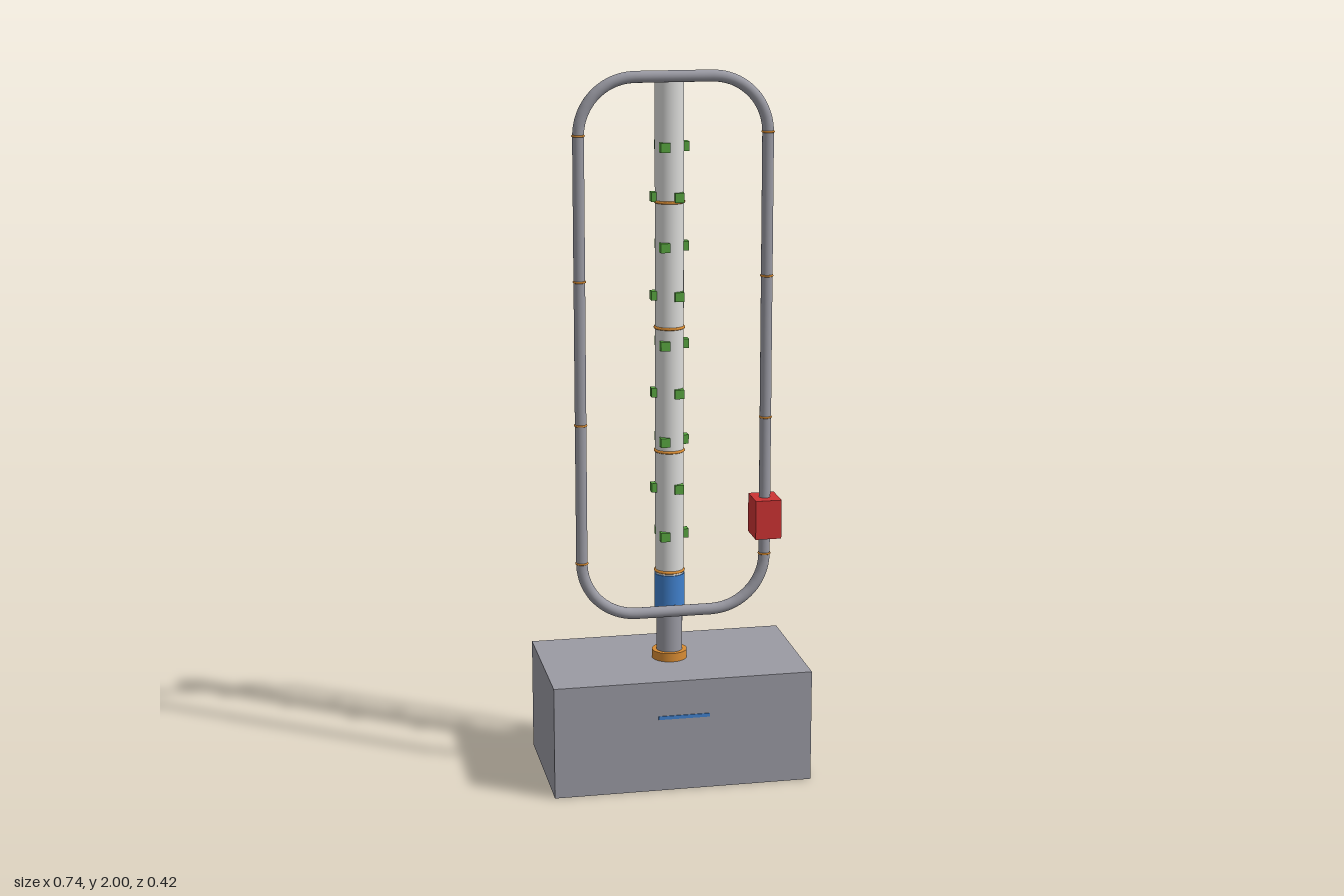
import * as THREE from 'three';

const mat = (name, color, side = THREE.FrontSide) => {
  const m = new THREE.MeshStandardMaterial({ color, side });
  m.name = name;
  return m;
};

export function createModel() {
  const group = new THREE.Group();
  const grey = mat('grey', 0x9a9aa3);
  const white = mat('offWhite', 0xdcdcda, THREE.DoubleSide);
  const orange = mat('orange', 0xd98c33);
  const blue = mat('blue', 0x4080cc);
  const green = mat('green', 0x59a640);
  const red = mat('red', 0xcc3333);
  const black = mat('black', 0x2b2b2b);

  const add = (name, geo, material, x, y, z) => {
    const mesh = new THREE.Mesh(geo, material);
    mesh.name = name;
    mesh.position.set(x, y, z);
    group.add(mesh);
    return mesh;
  };
  const box = (name, m, w, h, d, x, y, z) =>
    add(name, new THREE.BoxGeometry(w, h, d), m, x, y, z);
  // Upright cylinder between two heights
  const pipe = (name, m, r, y0, y1, open = false, x = 0, z = 0) =>
    add(name, new THREE.CylinderGeometry(r, r, y1 - y0, 40, 1, open), m, x, (y0 + y1) / 2, z);
  // Thin horizontal ring
  const ring = (name, m, r, t, x, y, z) => {
    const mesh = add(name, new THREE.TorusGeometry(r, t, 8, 40), m, x, y, z);
    mesh.rotation.x = Math.PI / 2;
    return mesh;
  };

  // Reservoir tank with front stripe
  box('tank', grey, 0.736, 0.322, 0.42, 0, 0.161, 0);
  box('frontStripe', blue, 0.146, 0.01, 0.003, 0, 0.216, 0.211);

  // Mast: collar, riser, coupling, open growing column
  pipe('collar', orange, 0.05, 0.322, 0.347);
  pipe('riser', grey, 0.037, 0.322, 0.58);
  pipe('coupling', blue, 0.043, 0.465, 0.575);
  pipe('column', white, 0.04, 0.575, 1.985, true);
  for (const y of [0.584, 0.935, 1.287, 1.638]) ring('columnBand', orange, 0.04, 0.004, 0, y, 0);

  // Planting pockets: three per tier, alternate tiers turned by half a step
  const pocket = new THREE.BoxGeometry(0.026, 0.026, 0.026);
  for (let tier = 0; tier < 9; tier++) {
    for (let k = 0; k < 3; k++) {
      const a = (k * 2 * Math.PI) / 3 + (tier % 2 ? Math.PI : 0);
      add('plantPocket', pocket, green, 0.04 * Math.cos(a), 0.691 + tier * 0.1373, 0.04 * Math.sin(a));
    }
  }

  // Feed nozzle at the column mouth
  ring('nozzleRing', black, 0.0165, 0.0015, 0, 1.982, 0);
  box('nozzleArm', grey, 0.018, 0.012, 0.025, 0, 1.976, 0.029);
  box('nozzleBlock', black, 0.018, 0.018, 0.018, 0, 1.985, 0.044);

  // Rounded circulation loop
  const X = 0.262, Y0 = 0.478, Y1 = 1.984, R = 0.155, Z = 0.061;
  const path = new THREE.CurvePath();
  const centres = [[X - R, Y0 + R], [X - R, Y1 - R], [R - X, Y1 - R], [R - X, Y0 + R]];
  const pts = [];
  centres.forEach(([cx, cy], i) => {
    for (let k = 0; k <= 12; k++) {
      const a = (i - 1 + k / 12) * Math.PI / 2;
      pts.push(new THREE.Vector3(cx + R * Math.cos(a), cy + R * Math.sin(a), 0));
    }
  });
  pts.forEach((p, i) => path.add(new THREE.LineCurve3(p, pts[(i + 1) % pts.length])));
  add('circulationLoop', new THREE.TubeGeometry(path, 320, 0.016, 20, true), grey, 0, 0, Z);
  for (const side of [-1, 1])
    for (const y of [0.635, 1.032, 1.433, 1.83])
      ring('loopBand', orange, 0.0155, 0.003, side * X, y, Z);

  // Pump housing on the left side of the loop
  box('pumpBox', red, 0.074, 0.112, 0.094, 0.263, 0.744, 0.061);

  return group;
}
